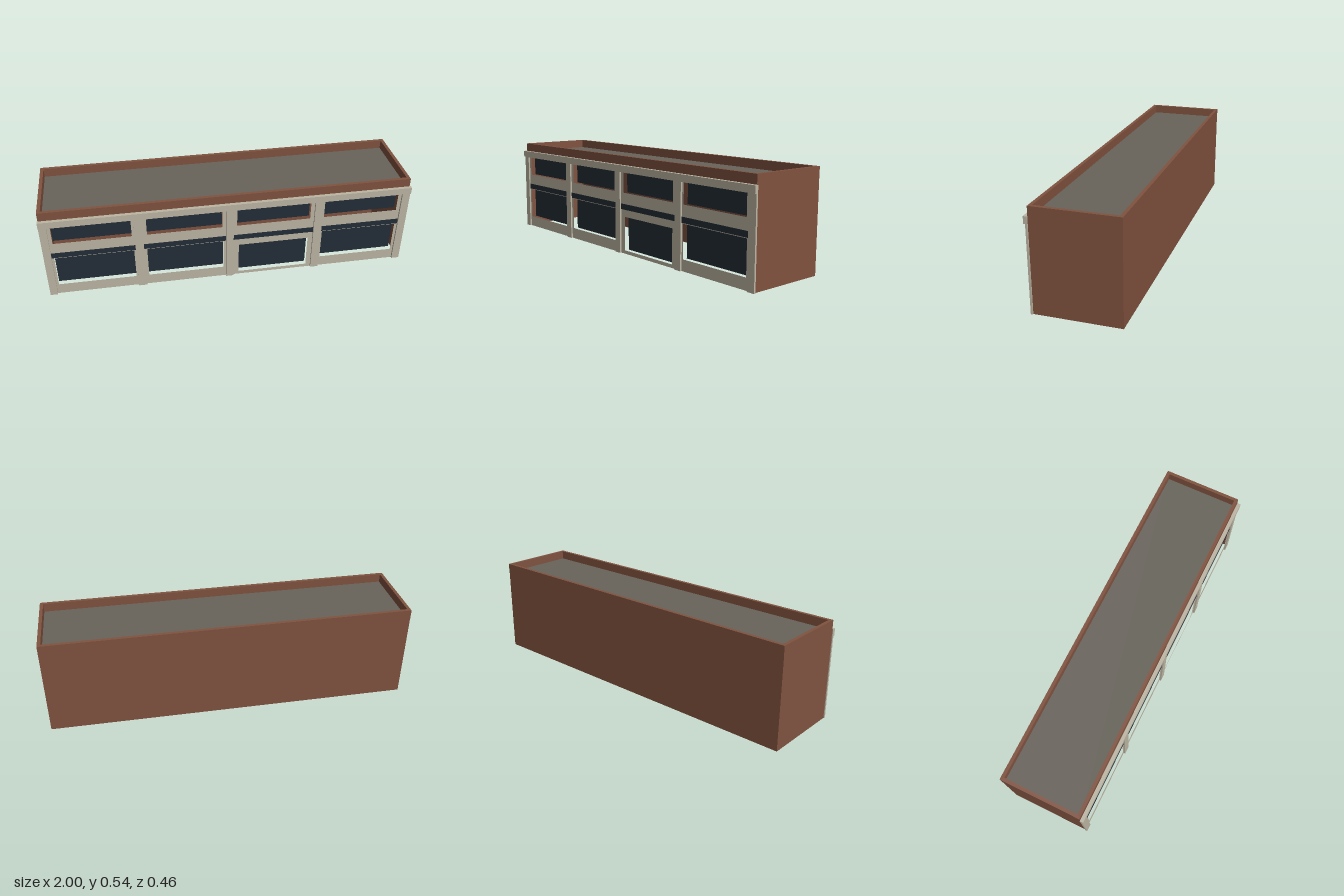
import * as THREE from 'three';

const mat = (name, color, side = THREE.FrontSide) => {
  const m = new THREE.MeshStandardMaterial({ color, side });
  m.name = name;
  return m;
};

export function createModel() {
  const brick = mat('brick', 0x80523f, THREE.DoubleSide);
  const stone = mat('stone', 0xbdb6a4, THREE.DoubleSide);
  const glass = mat('dark glass', 0x232d37, THREE.DoubleSide);
  const roofing = mat('roofing', 0x68645b, THREE.DoubleSide);

  const model = new THREE.Group();
  model.name = 'shopRow';
  const add = (name, geometry, material, parent = model) => {
    const mesh = new THREE.Mesh(geometry, material);
    mesh.name = name;
    parent.add(mesh);
    return mesh;
  };
  // Box given by its limits
  const box = (name, [x0, x1], [y0, y1], [z0, z1], material, parent) =>
    add(name, new THREE.BoxGeometry(x1 - x0, y1 - y0, z1 - z0), material, parent)
      .position.set((x0 + x1) / 2, (y0 + y1) / 2, (z0 + z1) / 2);
  // Rectangle outline for shapes and holes
  const rect = (Type, x0, x1, y0, y1) => new Type([
    new THREE.Vector2(x0, y0), new THREE.Vector2(x1, y0),
    new THREE.Vector2(x1, y1), new THREE.Vector2(x0, y1),
  ]);

  const L = -0.996, R = 0.993;      // side walls
  const F = 0.213, B = -0.23;       // front and back walls
  const eaves = 0.49, top = 0.54;

  // Brick shell: thin side and back walls, open underneath
  for (const [name, x, turn] of [['leftWall', R, 1], ['rightWall', L, -1]]) {
    const wall = add(name, new THREE.PlaneGeometry(F - B, eaves), brick);
    wall.rotation.y = turn * Math.PI / 2;
    wall.position.set(x, eaves / 2, (F + B) / 2);
  }
  const back = add('backWall', new THREE.PlaneGeometry(R - L, eaves), brick);
  back.rotation.y = Math.PI;
  back.position.set((L + R) / 2, eaves / 2, B);

  // Flat roof inside a parapet ring
  const roof = add('roof', new THREE.PlaneGeometry(R - L, F - B), roofing);
  roof.rotation.x = -Math.PI / 2;
  roof.position.set((L + R) / 2, eaves + 0.002, (F + B) / 2);

  const ring = rect(THREE.Shape, L, R, -F, -B + 0.001);
  ring.holes.push(rect(THREE.Path, L + 0.018, R - 0.018, -F + 0.018, -B - 0.017));
  const parapet = add('parapet',
    new THREE.ExtrudeGeometry(ring, { depth: top - eaves, bevelEnabled: false }), brick);
  parapet.rotation.x = -Math.PI / 2;
  parapet.position.y = eaves;

  // Openings as x0, x1, y0, y1
  const openings = [
    ['upperWindow', -0.942, -0.53, 0.34, 0.456],
    ['upperWindow', -0.45, -0.043, 0.34, 0.456],
    ['upperWindow', 0.037, 0.444, 0.34, 0.456],
    ['upperWindow', 0.522, 0.937, 0.34, 0.456],
    ['shopWindow', -0.947, -0.525, 0.062, 0.243],
    ['shopWindow', -0.455, -0.037, 0.062, 0.243],
    ['garageDoor', 0.048, 0.439, 0.019, 0.207],
    ['shopWindow', 0.519, 0.942, 0.062, 0.243],
  ];

  // Stone front sheet pierced by the openings, with recessed panes
  const front = rect(THREE.Shape, L, R, 0, eaves);
  const panes = new THREE.Group();
  panes.name = 'panes';
  model.add(panes);
  for (const [name, x0, x1, y0, y1] of openings) {
    front.holes.push(rect(THREE.Path, x0, x1, y0, y1));
    add(name, new THREE.PlaneGeometry(x1 - x0, y1 - y0), glass, panes)
      .position.set((x0 + x1) / 2, (y0 + y1) / 2, F - 0.027);
  }
  add('frontWall', new THREE.ShapeGeometry(front), stone).position.z = F;

  // Pilasters, with a dark sign band across each bay between them
  const pilasters = [[-1, -0.96], [-0.516, -0.471], [-0.024, 0.017], [0.466, 0.511], [0.957, 1]];
  pilasters.forEach((span, i) => {
    box('pilaster', span, [0, eaves], [F, 0.223], stone);
    if (i < 4) {
      box('signBand', [span[1], pilasters[i + 1][0]], [0.247, 0.278], [F, F + 0.002], glass);
    }
  });

  // Cornice along the head of the front
  box('cornice', [-1, 1], [0.454, 0.492], [F, 0.232], stone);

  return model;
}
